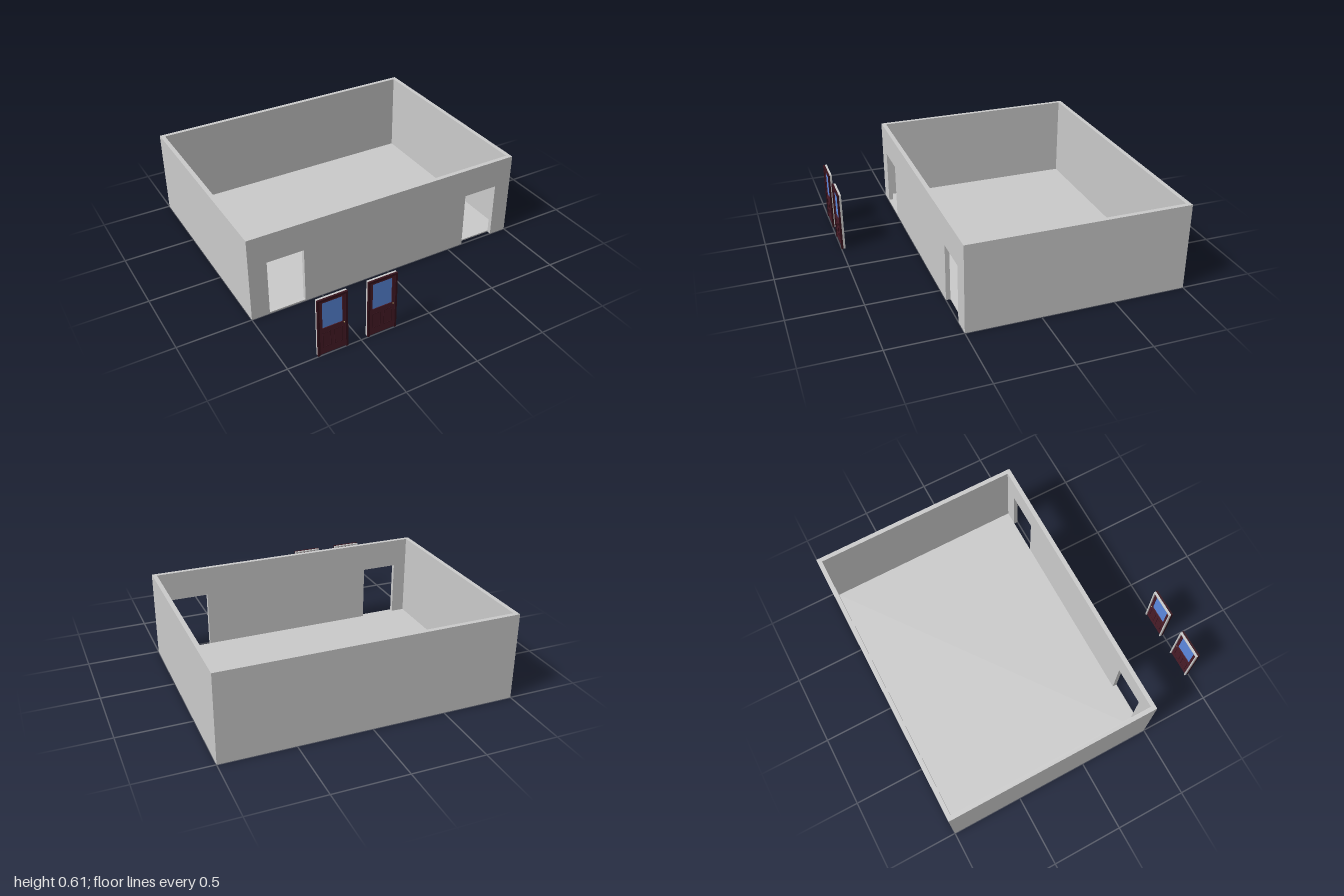
import * as THREE from 'three';

const grey = new THREE.MeshStandardMaterial({ color: 0xcccccc });
const wood = new THREE.MeshStandardMaterial({ color: 0x4a1c28 });
const darkWood = new THREE.MeshStandardMaterial({ color: 0x35121c });
const glass = new THREE.MeshStandardMaterial({ color: 0x5c8ae0 });
const brass = new THREE.MeshStandardMaterial({ color: 0xb09a60 });

function add(parent, name, geometry, material) {
  const mesh = new THREE.Mesh(geometry, material);
  mesh.name = name;
  parent.add(mesh);
  return mesh;
}

// Box given by its lower and upper limits on each axis
function box(parent, name, material, [x0, x1], [y0, y1], [z0, z1]) {
  const mesh = add(parent, name, new THREE.BoxGeometry(x1 - x0, y1 - y0, z1 - z0), material);
  mesh.position.set((x0 + x1) / 2, (y0 + y1) / 2, (z0 + z1) / 2);
  return mesh;
}

function outline(points) {
  return points.map(([x, y]) => new THREE.Vector2(x, y));
}

function rect(x0, x1, y0, y1) {
  return outline([[x0, y0], [x1, y0], [x1, y1], [x0, y1]]);
}

// Upright slab cut from a shape, spanning z0 to z1
function slab(parent, name, material, points, holes, z0, z1) {
  const shape = new THREE.Shape(points);
  holes.forEach(h => shape.holes.push(new THREE.Path(h)));
  const geometry = new THREE.ExtrudeGeometry(shape, { depth: z1 - z0, bevelEnabled: false });
  geometry.translate(0, 0, z0);
  return add(parent, name, geometry, material);
}

function createRoom() {
  const room = new THREE.Group();
  room.name = 'room';
  const H = 0.605, T = 0.03, F = 0.01, front = 0.5, back = -1;

  // Side and back walls as one U-shaped plan
  const plan = new THREE.Shape(outline([
    [-1, -front], [-1 + T, -front], [-1 + T, -back - T], [1 - T, -back - T],
    [1 - T, -front], [1, -front], [1, -back], [-1, -back],
  ]));
  const walls = new THREE.ExtrudeGeometry(plan, { depth: H, bevelEnabled: false });
  walls.rotateX(-Math.PI / 2);
  add(room, 'sideAndBackWalls', walls, grey);

  // Front wall: one doorway open to the ground, the other with a low sill
  const x = 1 - T;
  slab(room, 'frontWall', grey, outline([
    [-x, 0], [0.62, 0], [0.62, 0.402], [0.875, 0.402], [0.875, 0], [x, 0], [x, H], [-x, H],
  ]), [rect(-0.875, -0.62, F, 0.402)], front - T, front);

  box(room, 'floor', grey, [-x, x], [0, F], [back + T, front - T]);
  return room;
}

function createDoor(x) {
  const door = new THREE.Group();
  door.name = 'door';
  door.position.x = x;
  const W = 0.102, H = 0.42;

  // Frame: grey jamb behind, dark casing in front, both open at the ground
  const arch = (w, h, t) => outline([
    [-w, 0], [-w + t, 0], [-w + t, h - t], [w - t, h - t], [w - t, 0], [w, 0], [w, h], [-w, h],
  ]);
  slab(door, 'jamb', grey, arch(W - 0.001, H - 0.001, 0.01), [], 0.972, 0.987);
  slab(door, 'casing', darkWood, arch(W, H, 0.014), [], 0.987, 1);

  // Leaf with a window opening
  slab(door, 'leaf', wood, rect(-0.09, 0.09, 0.003, 0.409),
    [rect(-0.068, 0.068, 0.2, 0.39)], 0.98, 0.994);
  box(door, 'windowPane', glass, [-0.068, 0.068], [0.2, 0.39], [0.985, 0.989]);

  for (const s of [-1, 1]) {
    const cx = s * 0.04;
    // Raised panel on both faces
    for (const [z0, z1] of [[0.994, 0.996], [0.978, 0.98]]) {
      slab(door, 'panelMoulding', darkWood, rect(cx - 0.028, cx + 0.028, 0.055, 0.165),
        [rect(cx - 0.025, cx + 0.025, 0.058, 0.162)], z0, z1);
    }
    // Knob on each face
    const knob = add(door, 'knob', new THREE.SphereGeometry(0.004, 12, 8), brass);
    knob.position.set(0.078, 0.192, 0.987 + s * 0.009);
  }
  return door;
}

export function createModel() {
  const model = new THREE.Group();
  model.name = 'roomWithDoors';
  model.add(createRoom(), createDoor(-0.693), createDoor(-0.351));
  return model;
}
